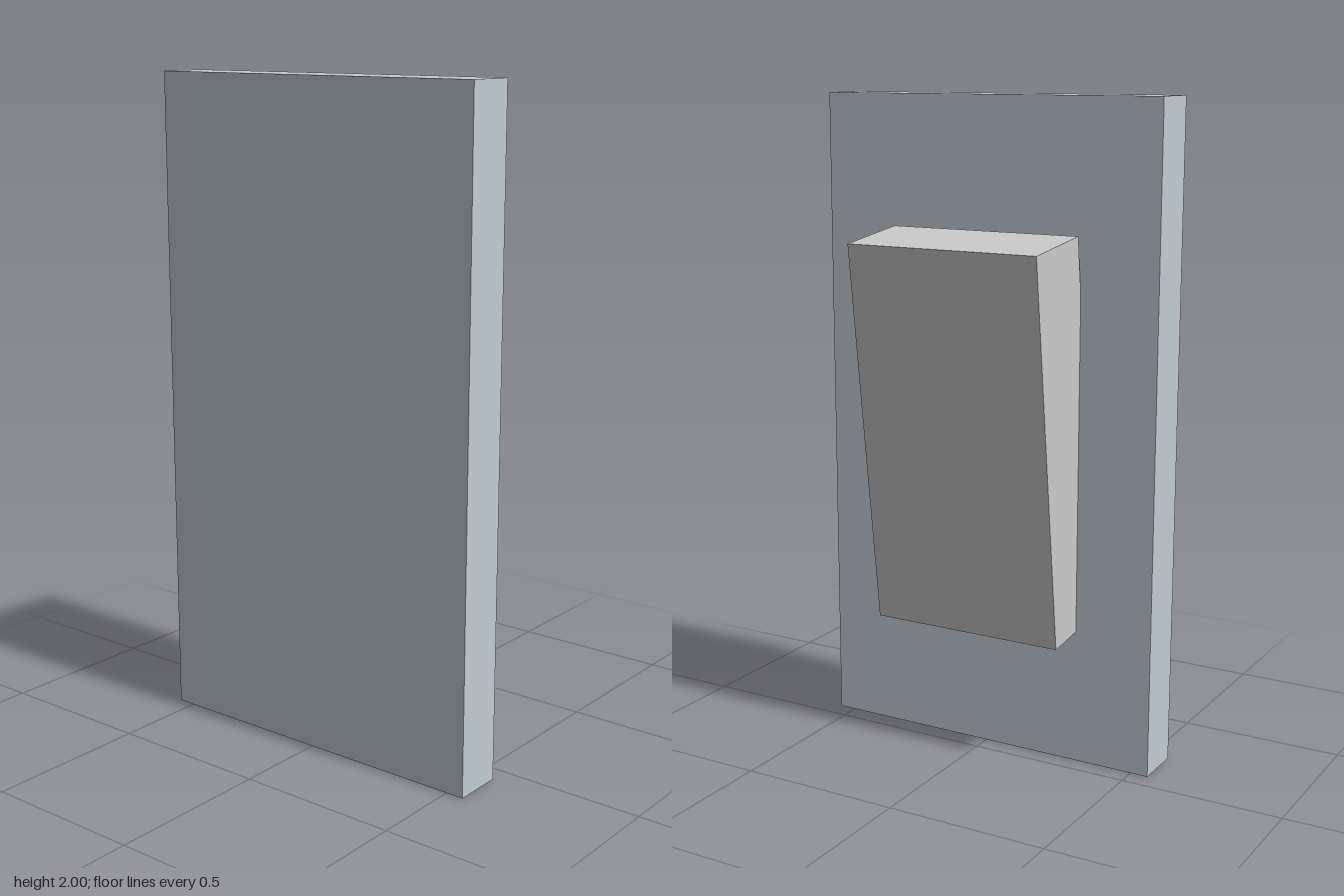
import * as THREE from 'three';

// Box with a name, size, centre and colour
function box(name, size, position, color) {
  const mesh = new THREE.Mesh(
    new THREE.BoxGeometry(...size),
    new THREE.MeshStandardMaterial({ color })
  );
  mesh.name = name;
  mesh.position.set(...position);
  return mesh;
}

export function createModel() {
  const group = new THREE.Group();
  group.name = 'rockerSwitch';

  // Flat wall plate
  const plate = box('plate', [1.11, 2, 0.155], [0, 1, 0.138], 0xc2cdd1);

  // Tilted rocker, its lower front edge sunk into the plate
  const rocker = box('rocker', [0.62, 1.186, 0.255], [0, 1.003, -0.015], 0xd9d8dc);
  rocker.rotation.x = -0.121;

  group.add(plate, rocker);
  return group;
}
